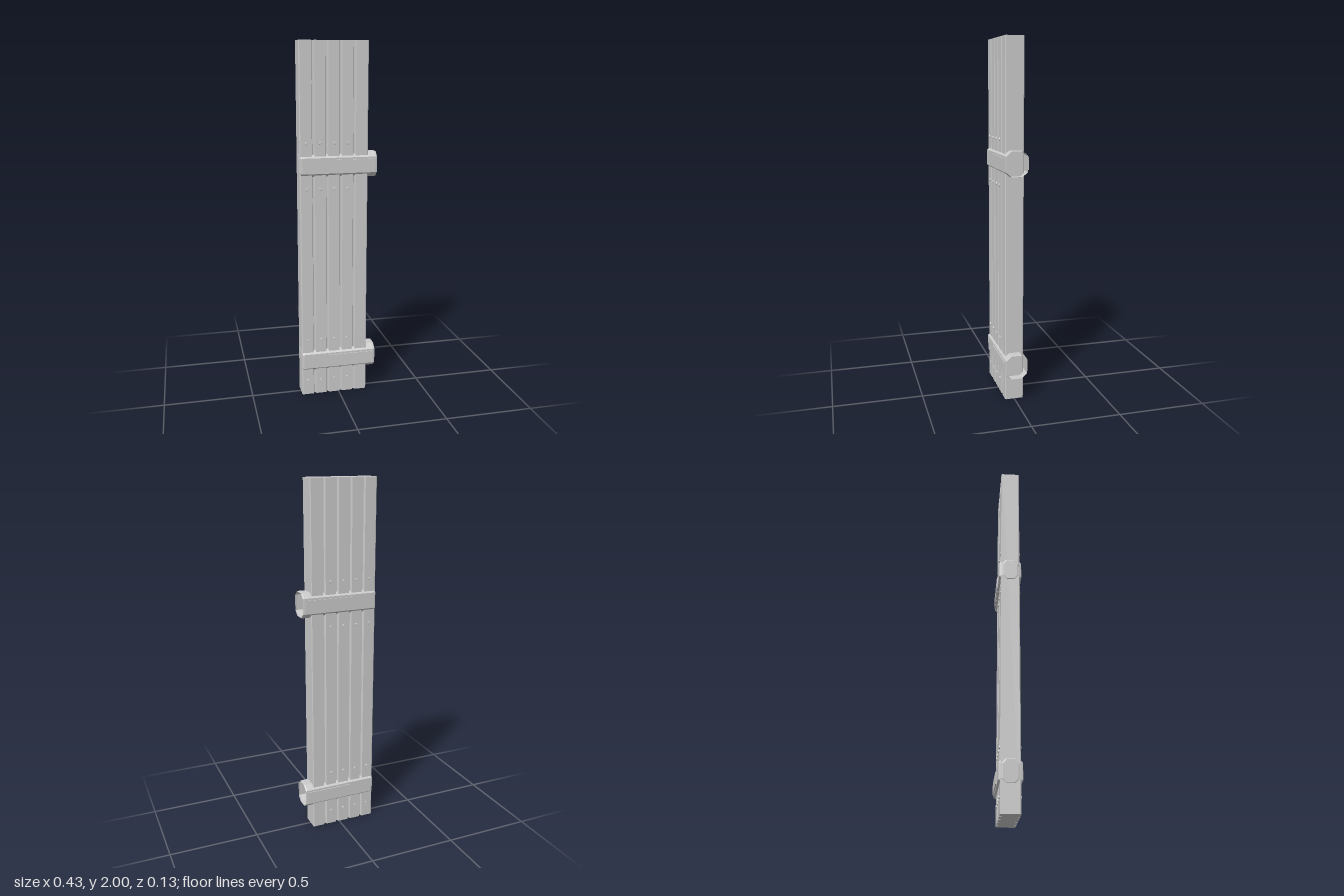
import * as THREE from 'three';

const grey = new THREE.MeshStandardMaterial({ color: 0xcccccc, flatShading: true });
const greyOpen = new THREE.MeshStandardMaterial({ color: 0xcccccc, flatShading: true, side: THREE.DoubleSide });

function add(parent, name, geometry, material = grey) {
  const mesh = new THREE.Mesh(geometry, material);
  mesh.name = name;
  parent.add(mesh);
  return mesh;
}

// Planked panel: a plan outline with V grooves on both faces, extruded upwards
function panelGeometry() {
  const half = [[-0.215, 0.047], [-0.21, 0.052]];
  for (const x of [-0.14, -0.064, 0.013, 0.089]) {
    half.push([x - 0.008, 0.052], [x - 0.003, 0.039], [x + 0.003, 0.039], [x + 0.008, 0.052]);
  }
  half.push([0.161, 0.052], [0.165, 0.048]);
  const mirrored = half.map(([x, z]) => [x, -z]).reverse();
  const shape = new THREE.Shape([...half, ...mirrored].map(([x, z]) => new THREE.Vector2(x, z)));
  return new THREE.ExtrudeGeometry(shape, { depth: 2, bevelEnabled: false }).rotateX(-Math.PI / 2);
}

// Octagonal sleeve along x: closed bevelled left end, open right end
function sleeveGeometry() {
  const octagon = [[0.062, 0.043], [0.031, 0.069], [-0.031, 0.069], [-0.062, 0.043],
    [-0.062, -0.043], [-0.031, -0.069], [0.031, -0.069], [0.062, -0.043]];
  // each ring: x, z scale, y scale
  const rings = [[-0.217, 0, 0], [-0.217, 0.6, 0.83], [-0.211, 0.97, 0.98], [-0.203, 1, 1],
    [0.207, 1, 1], [0.215, 0.96, 0.98]];
  const position = [], index = [];
  rings.forEach(([x, sz, sy], r) => {
    octagon.forEach(([z, y], i) => {
      position.push(x, y * sy, z * sz);
      if (r === 0) return;
      const j = (i + 1) % 8, a = (r - 1) * 8, b = r * 8;
      index.push(a + i, b + i, b + j);
      if (r > 1) index.push(a + i, b + j, a + j);
    });
  });
  const g = new THREE.BufferGeometry();
  g.setAttribute('position', new THREE.Float32BufferAttribute(position, 3));
  g.setIndex(index);
  const flat = g.toNonIndexed();
  flat.computeVertexNormals();
  return flat;
}

export function createModel() {
  const model = new THREE.Group();
  model.name = 'plankPanel';
  add(model, 'planks', panelGeometry());

  // Two sleeves, each with a raised strap on the front and back
  const sleeve = sleeveGeometry();
  const strap = new THREE.BoxGeometry(0.27, 0.064, 0.005);
  for (const y of [0.207, 1.341]) {
    const band = new THREE.Group();
    band.name = 'band';
    band.position.y = y;
    add(band, 'sleeve', sleeve, greyOpen);
    for (const s of [1, -1]) add(band, 'strap', strap).position.set(0.066, 0, s * 0.0645);
    model.add(band);
  }

  // Rivets in rows above and below each band, on both faces
  const rivet = new THREE.CylinderGeometry(0.007, 0.01, 0.008, 8).rotateX(Math.PI / 2);
  for (const s of [1, -1]) {
    for (const y of [0.085, 0.333, 1.212, 1.462]) {
      for (let i = 0; i < 4; i++) {
        const r = add(model, 'rivet', rivet);
        r.position.set(-0.178 + i * 0.0765, y, s * 0.053);
        if (s < 0) r.rotation.y = Math.PI;
      }
    }
  }
  return model;
}
